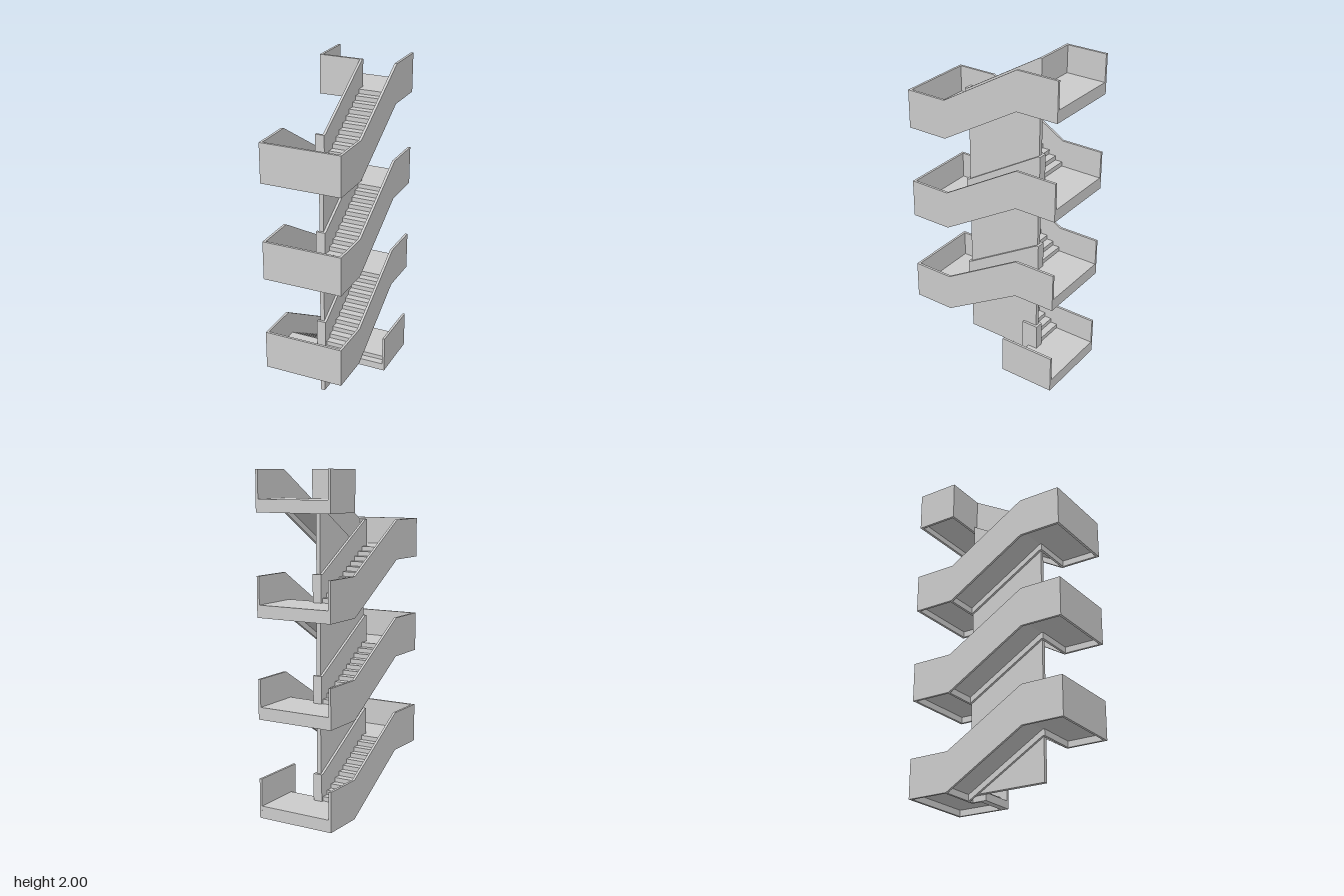
import * as THREE from 'three';

const HALF_W = 0.242, HALF_D = 0.506;  // overall half width and half depth
const WALL = 0.015;                    // parapet thickness
const RUN = 0.247;                     // flights span z = +RUN .. -RUN
const RISE = 0.294;                    // height climbed by one flight
const PARAPET = 0.236, FLOOR = 0.073, SOFFIT = 0.038;
const INNER = 0.013;                   // near face of the inner parapets
const STEPS = 11, STOREYS = 3;

const material = new THREE.MeshStandardMaterial({ color: 0xcccccc, flatShading: true });

function add(parent, name, geometry) {
  const mesh = new THREE.Mesh(geometry, material);
  mesh.name = name;
  parent.add(mesh);
  return mesh;
}

// Box given by its limits on each axis
function box(parent, name, x0, x1, y0, y1, z0, z1) {
  const g = new THREE.BoxGeometry(x1 - x0, y1 - y0, z1 - z0);
  g.translate((x0 + x1) / 2, (y0 + y1) / 2, (z0 + z1) / 2);
  return add(parent, name, g);
}

// Outline of [z, y] points extruded from x0 to x1
function panel(parent, name, points, x0, x1) {
  const shape = new THREE.Shape(points.map(([z, y]) => new THREE.Vector2(z, y)));
  const g = new THREE.ExtrudeGeometry(shape, { depth: x1 - x0, bevelEnabled: false });
  g.rotateY(-Math.PI / 2);
  g.translate(x1, 0, 0);
  return add(parent, name, g);
}

// Parapet that runs level, climbs with the flight, then runs level again
function slopedParapet(parent, name, end, x0) {
  panel(parent, name, [
    [end, 0], [RUN, 0], [-RUN, RISE], [-end, RISE],
    [-end, RISE + PARAPET], [-RUN, RISE + PARAPET], [RUN, PARAPET], [end, PARAPET],
  ], x0, x0 + WALL);
}

// One flight on the +x side, climbing from front to back
function createFlight() {
  const flight = new THREE.Group();
  flight.name = 'flight';
  slopedParapet(flight, 'outerParapet', HALF_D, HALF_W - WALL);
  slopedParapet(flight, 'innerParapet', RUN + WALL, INNER);

  const outline = [[RUN, SOFFIT]];
  const tread = 2 * RUN / STEPS, riser = RISE / STEPS;
  for (let i = 0; i < STEPS; i++) {
    const z = RUN - i * tread;
    outline.push([z, FLOOR + i * riser], [z, FLOOR + (i + 1) * riser]);
  }
  outline.push([-RUN, FLOOR + RISE], [-RUN, SOFFIT + RISE]);
  panel(flight, 'steps', outline, INNER + WALL, HALF_W - WALL);
  box(flight, 'footBeam', INNER + WALL, HALF_W - WALL, 0, SOFFIT, RUN, RUN + WALL);
  return flight;
}

// Landing slab; the front one is closed by a parapet, the back one has a low edge beam
function createLanding(front) {
  const landing = new THREE.Group();
  landing.name = front ? 'frontLanding' : 'backLanding';
  const inside = HALF_W - WALL, edge = HALF_D - WALL;
  if (front) {
    box(landing, 'floor', -inside, inside, SOFFIT, FLOOR, RUN, edge);
    box(landing, 'frontParapet', -inside, inside, 0, PARAPET, edge, HALF_D);
  } else {
    box(landing, 'floor', -inside, inside, SOFFIT, FLOOR, -edge, -RUN);
    box(landing, 'edgeBeam', -inside, inside, 0, FLOOR, -HALF_D, -edge);
  }
  // short wall joining the two inner parapets
  const z = front ? RUN : -RUN - WALL;
  box(landing, 'newelWall', -INNER - WALL, INNER + WALL, 0, PARAPET, z, z + WALL);
  return landing;
}

export function createModel() {
  const model = new THREE.Group();
  model.name = 'staircase';

  for (let k = 0; k <= STOREYS; k++) {
    const y = 2 * RISE * k;
    const back = createLanding(false);
    back.position.y = y;
    model.add(back);
    if (k === STOREYS) break;

    const front = createLanding(true);
    front.position.y = y + RISE;
    const lower = createFlight();      // -x side, back to front
    lower.rotation.y = Math.PI;
    lower.position.y = y;
    const upper = createFlight();      // +x side, front to back
    upper.position.y = y + RISE;
    model.add(front, lower, upper);
  }

  // Central wall filling the well between the flights
  const top = 2 * RISE * STOREYS + SOFFIT;
  panel(model, 'spineWall', [[RUN, 0.035], [-RUN, 0.035], [-RUN, top], [RUN, top - RISE]], -INNER, INNER);

  // Entrance at the ground: side walls and two steps
  const start = -0.156;
  box(model, 'entranceOuterWall', HALF_W - WALL, HALF_W, 0, PARAPET, -HALF_D, start);
  box(model, 'entranceInnerWall', INNER, INNER + WALL, 0, PARAPET, -RUN - WALL, start);
  panel(model, 'entranceSteps', [
    [start, 0], [start, 0.046], [-0.202, 0.046], [-0.202, FLOOR],
    [-RUN, FLOOR], [-RUN, SOFFIT], [-0.2, 0],
  ], INNER + WALL, HALF_W - WALL);

  // Walls closing the top landing where no further flight starts
  const y = 2 * RISE * STOREYS;
  box(model, 'topSideParapet', -HALF_W, -HALF_W + WALL, y, y + PARAPET, -HALF_D, -RUN);
  box(model, 'topFrontParapet', -HALF_W + WALL, INNER + WALL, y, y + PARAPET, -RUN - WALL, -RUN);

  return model;
}
